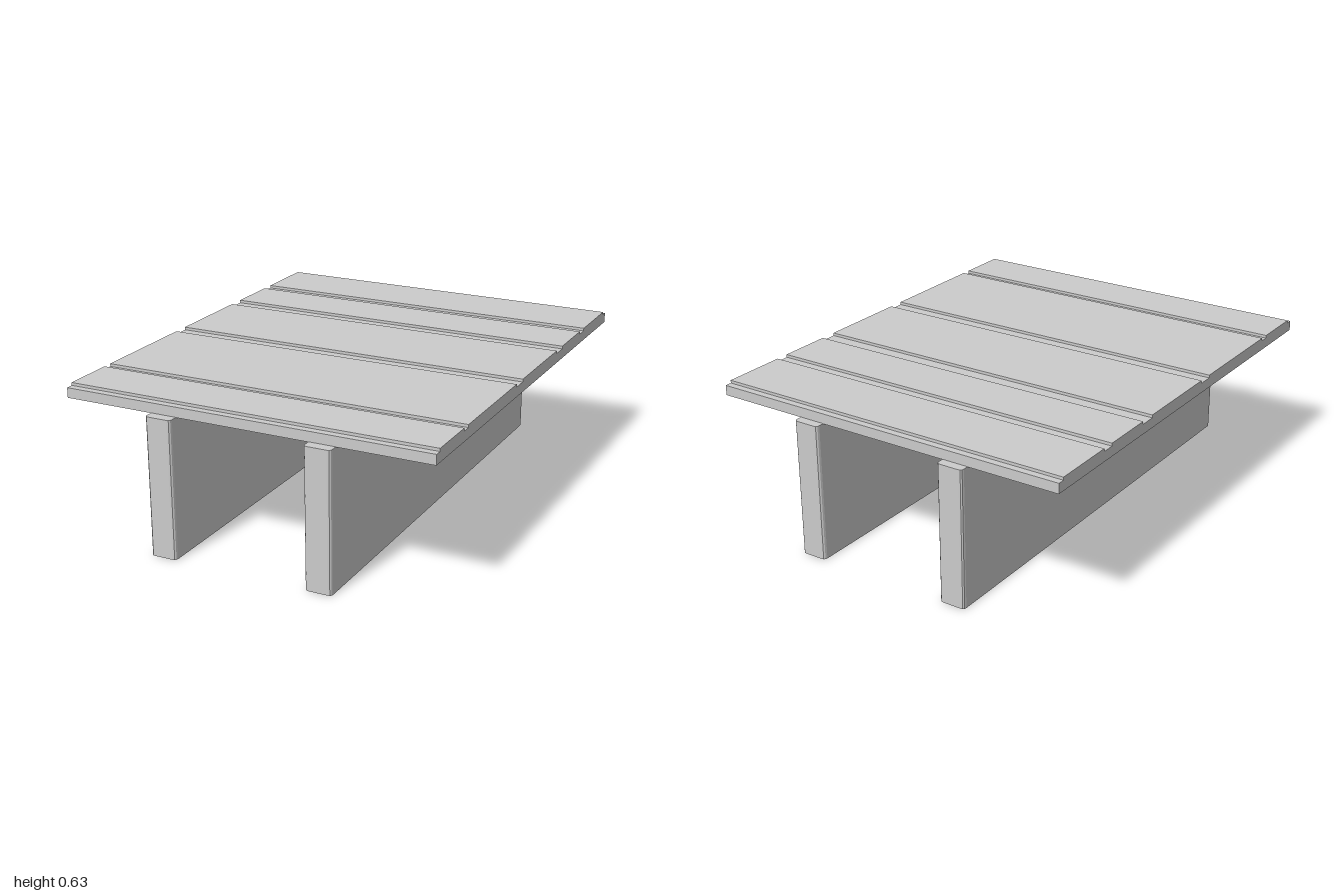
import * as THREE from 'three';

const material = new THREE.MeshStandardMaterial({ color: 0xcccccc, flatShading: true });

function addMesh(group, geometry, name) {
  const mesh = new THREE.Mesh(geometry, material);
  mesh.name = name;
  group.add(mesh);
  return mesh;
}

// Deck side profile: a slab whose raised planks are separated by shallow grooves
function deckGeometry() {
  const bottom = 0.578, groove = 0.62, top = 0.632;
  const front = 0.956, back = -0.961, width = 1.57;
  const planks = [[0.926, 0.705], [0.666, 0.172], [0.104, -0.299], [-0.37, -0.6], [-0.655, -0.932]];
  const shape = new THREE.Shape();
  shape.moveTo(-back, bottom);
  shape.lineTo(-front, bottom);
  shape.lineTo(-front, groove);
  for (const [z0, z1] of planks) {
    shape.lineTo(-z0, groove);
    shape.lineTo(-z0, top);
    shape.lineTo(-z1, top);
    shape.lineTo(-z1, groove);
  }
  shape.lineTo(-back, groove);
  shape.closePath();
  // shape x becomes -z, extrusion becomes +x
  return new THREE.ExtrudeGeometry(shape, { depth: width, bevelEnabled: false })
    .rotateY(Math.PI / 2)
    .translate(-width / 2, 0, 0);
}

// Upright beam: plan outline with softened vertical corners, extruded upward
function beamGeometry(width, length, height, r) {
  const x = width / 2, z = length / 2;
  const shape = new THREE.Shape();
  shape.moveTo(-x + r, -z);
  shape.lineTo(x - r, -z);
  shape.quadraticCurveTo(x, -z, x, -z + r);
  shape.lineTo(x, z - r);
  shape.quadraticCurveTo(x, z, x - r, z);
  shape.lineTo(-x + r, z);
  shape.quadraticCurveTo(-x, z, -x, z - r);
  shape.lineTo(-x, -z + r);
  shape.quadraticCurveTo(-x, -z, -x + r, -z);
  return new THREE.ExtrudeGeometry(shape, { depth: height, bevelEnabled: false, curveSegments: 3 })
    .rotateX(-Math.PI / 2);
}

export function createModel() {
  const model = new THREE.Group();
  model.name = 'plankPlatform';

  addMesh(model, deckGeometry(), 'plankDeck');

  // Two long supporting beams
  const beam = beamGeometry(0.112, 2, 0.579, 0.016);
  addMesh(model, beam, 'leftBeam').position.x = 0.337;
  addMesh(model, beam, 'rightBeam').position.x = -0.341;

  return model;
}
